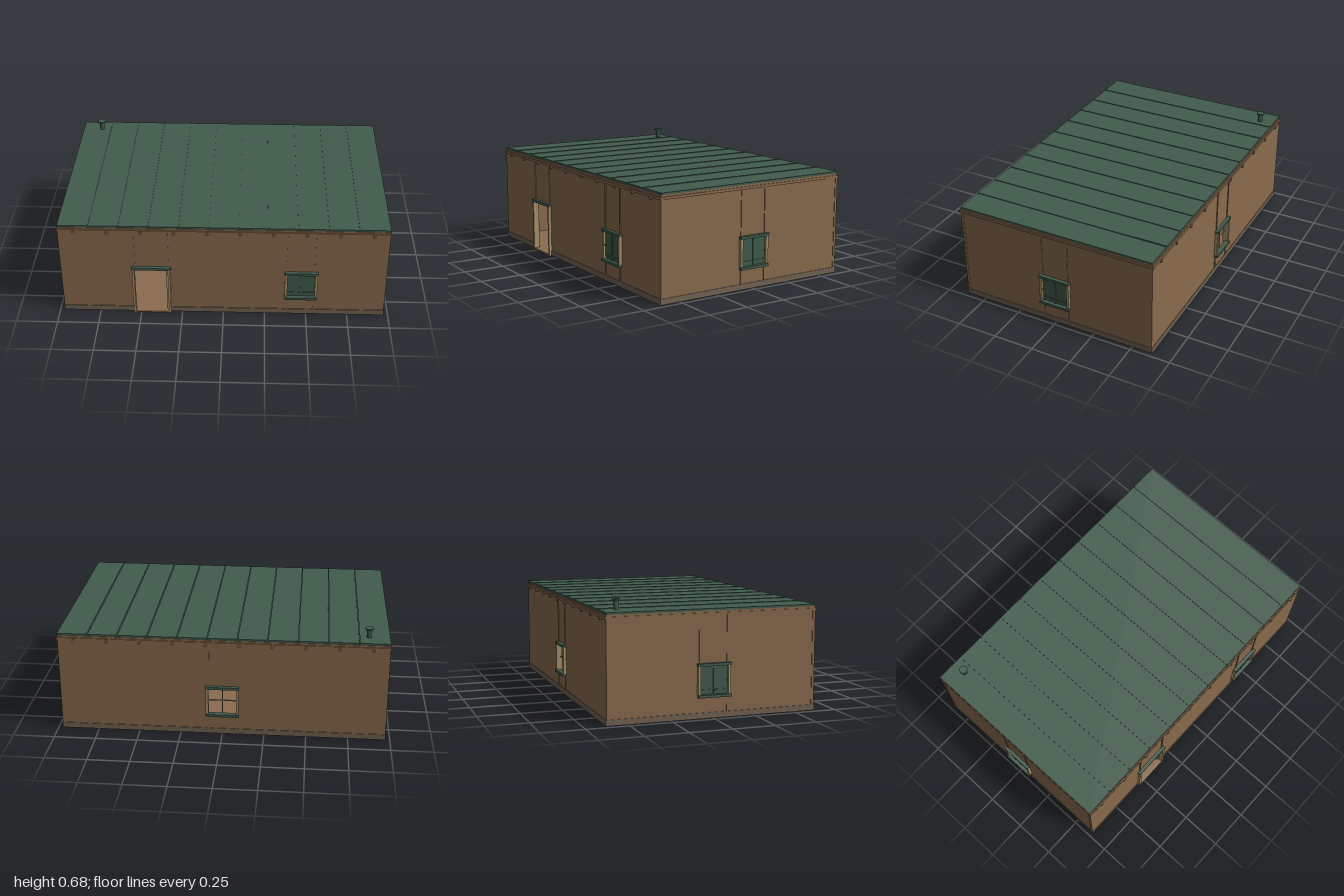
import * as THREE from 'three';

const mat = (name, color) => new THREE.MeshStandardMaterial({ name, color });
const wallMat = mat('earth brown', 0x8b6b4e);
const greenMat = mat('dark green', 0x425c4d);
const tanMat = mat('tan trim', 0xa8946c);
const plinthMat = mat('grey brown', 0x746454);

// Box given by its extents on each axis
function box(parent, name, m, x0, x1, y0, y1, z0, z1) {
  const mesh = new THREE.Mesh(new THREE.BoxGeometry(x1 - x0, y1 - y0, z1 - z0), m);
  mesh.position.set((x0 + x1) / 2, (y0 + y1) / 2, (z0 + z1) / 2);
  mesh.name = name;
  parent.add(mesh);
  return mesh;
}

function cylinder(parent, name, m, r, len, x, y, z, alongZ = false) {
  const mesh = new THREE.Mesh(new THREE.CylinderGeometry(r, r, len, 16), m);
  if (alongZ) mesh.rotation.x = Math.PI / 2;
  mesh.position.set(x, y, z);
  mesh.name = name;
  parent.add(mesh);
  return mesh;
}

const X = 0.97, Z = 0.625, H = 0.59, T = 0.02;

// Wall facing +z, outer face at z = 0, pierced by [x0, x1, y0, y1] openings
function wall(name, halfWidth, openings) {
  const g = new THREE.Group();
  g.name = name;
  const s = new THREE.Shape();
  const rect = (p, x0, x1, y0, y1) => {
    p.moveTo(x0, y0); p.lineTo(x1, y0); p.lineTo(x1, y1); p.lineTo(x0, y1); p.closePath();
  };
  rect(s, -halfWidth, halfWidth, 0.008, H);
  for (const o of openings) {
    const p = new THREE.Path();
    rect(p, ...o);
    s.holes.push(p);
  }
  const mesh = new THREE.Mesh(new THREE.ExtrudeGeometry(s, { depth: T, bevelEnabled: false }), wallMat);
  mesh.position.z = -T;
  mesh.name = name + 'Panel';
  g.add(mesh);
  return g;
}

// Narrow battens continuing an opening's edges up to the eaves and down to the plinth
function battens(g, cx, half, y0, y1) {
  for (const s of [-1, 1]) {
    const x = cx + s * half;
    box(g, 'wallBatten', wallMat, x - 0.005, x + 0.005, y1, 0.585, -0.002, 0.004);
    if (y0 > 0.04) box(g, 'wallBatten', wallMat, x - 0.005, x + 0.005, 0.03, y0, -0.002, 0.004);
  }
}

// Window centred on cx; either closed by green shutters or open with glazing bars
function windowUnit(parent, cx, shuttered) {
  const g = new THREE.Group();
  g.name = 'window';
  g.position.x = cx;
  parent.add(g);
  battens(g, 0, 0.083, 0.13, 0.31);
  box(g, 'lintel', greenMat, -0.1, 0.1, 0.3, 0.316, -0.005, 0.022);
  box(g, 'sill', greenMat, -0.097, 0.097, 0.122, 0.138, -0.005, 0.026);
  for (const s of [-1, 1]) {
    box(g, 'sideFrame', tanMat, s * 0.09 - 0.008, s * 0.09 + 0.008, 0.138, 0.3, -0.015, 0.018);
    if (shuttered) {
      box(g, 'shutter', greenMat, Math.min(s * 0.003, s * 0.082), Math.max(s * 0.003, s * 0.082),
        0.138, 0.3, -0.012, 0.003);
      box(g, 'shutterRail', greenMat, Math.min(s * 0.006, s * 0.08), Math.max(s * 0.006, s * 0.08),
        0.155, 0.167, 0.003, 0.007);
      box(g, 'hinge', greenMat, s * 0.081 - 0.003, s * 0.081 + 0.003, 0.21, 0.222, 0.003, 0.009);
    }
  }
  if (shuttered) {
    box(g, 'centreBar', greenMat, -0.004, 0.004, 0.138, 0.3, -0.01, 0.008);
  } else {
    box(g, 'glazingBar', tanMat, -0.003, 0.003, 0.138, 0.3, -0.012, -0.006);
    box(g, 'glazingBar', tanMat, -0.082, 0.082, 0.216, 0.222, -0.012, -0.006);
  }
}

export function createModel() {
  const model = new THREE.Group();
  model.name = 'cabin';
  const opening = (cx) => [cx - 0.083, cx + 0.083, 0.13, 0.308];
  const doorX = -0.432, winX = 0.465;

  // Front wall with doorway and window
  const front = wall('frontWall', X, [[doorX - 0.1, doorX + 0.1, 0.01, 0.322], opening(winX)]);
  front.position.z = Z;
  windowUnit(front, winX, true);
  battens(front, doorX, 0.1, 0, 0.33);
  box(front, 'doorLintel', greenMat, doorX - 0.118, doorX + 0.118, 0.32, 0.336, -0.005, 0.02);
  for (const s of [-1, 1]) {
    const x = doorX + s * 0.107;
    box(front, 'doorPost', tanMat, x - 0.007, x + 0.007, 0, 0.32, -0.015, 0.018);
  }
  box(front, 'threshold', wallMat, doorX - 0.1, doorX + 0.1, 0, 0.01, -0.015, 0.018);
  // Door swung open into the room
  box(front, 'doorLeaf', tanMat, doorX + 0.088, doorX + 0.1, 0.012, 0.318, -0.21, -0.012);
  box(front, 'doorHandle', greenMat, doorX + 0.078, doorX + 0.088, 0.108, 0.118, -0.2, -0.185);
  box(front, 'doorHandle', greenMat, doorX + 0.082, doorX + 0.086, 0.07, 0.118, -0.2, -0.192);

  // Back wall with an open glazed window
  const back = wall('backWall', X, [opening(0)]);
  back.position.z = -Z;
  back.rotation.y = Math.PI;
  windowUnit(back, 0, false);
  model.add(front, back);

  // Side walls
  for (const s of [-1, 1]) {
    const side = wall(s > 0 ? 'leftWall' : 'rightWall', Z - T, [opening(0)]);
    side.position.x = s * X;
    side.rotation.y = s * Math.PI / 2;
    windowUnit(side, 0, true);
    model.add(side);
    for (const t of [-1, 1]) {
      box(model, 'cornerBoard', wallMat, s * X - 0.003, s * X + 0.003, 0.03, 0.59,
        t * 0.617 - 0.008, t * 0.617 + 0.008);
    }
  }

  // Floor and plinth, interrupted at the doorway
  box(model, 'floor', wallMat, -X, X, 0, 0.01, -Z, Z);
  const P = 0.004, d0 = doorX - 0.114, d1 = doorX + 0.114;
  box(model, 'plinth', plinthMat, -X - P, d0, 0.001, 0.035, Z - 0.01, Z + P);
  box(model, 'plinth', plinthMat, d1, X + P, 0.001, 0.035, Z - 0.01, Z + P);
  box(model, 'plinth', plinthMat, -X - P, X + P, 0.001, 0.035, -Z - P, -Z + 0.01);
  for (const s of [-1, 1]) {
    box(model, 'plinth', plinthMat, s * (X - 0.003) - 0.007, s * (X - 0.003) + 0.007,
      0.001, 0.035, -Z + 0.01, Z - 0.01);
  }

  // Eaves band, roof sheet and standing seams
  box(model, 'eavesBand', wallMat, -X - 0.006, X + 0.006, 0.583, 0.598, -Z - 0.006, Z + 0.006);
  box(model, 'roofBoard', wallMat, -X, X, 0.598, 0.609, -Z, Z);
  box(model, 'roofSheet', greenMat, -X - 0.003, X + 0.003, 0.609, 0.621, -Z + 0.003, Z - 0.003);
  for (let i = 0; i < 10; i++) {
    const x = (i - 4.5) * 0.1765;
    box(model, 'roofSeam', greenMat, x - 0.004, x + 0.004, 0.62, 0.625, -Z + 0.003, Z - 0.003);
  }

  // Round roof beams projecting through front and back walls
  for (let i = 0; i < 10; i++) {
    cylinder(model, 'roofBeam', wallMat, 0.01, 2 * Z + 0.022, (i - 4.5) * 0.195, 0.581, 0, true);
  }

  // Vent pipe
  cylinder(model, 'ventPipe', greenMat, 0.015, 0.055, -0.85, 0.645, -0.53);
  cylinder(model, 'ventCap', greenMat, 0.025, 0.009, -0.85, 0.676, -0.53);

  return model;
}
